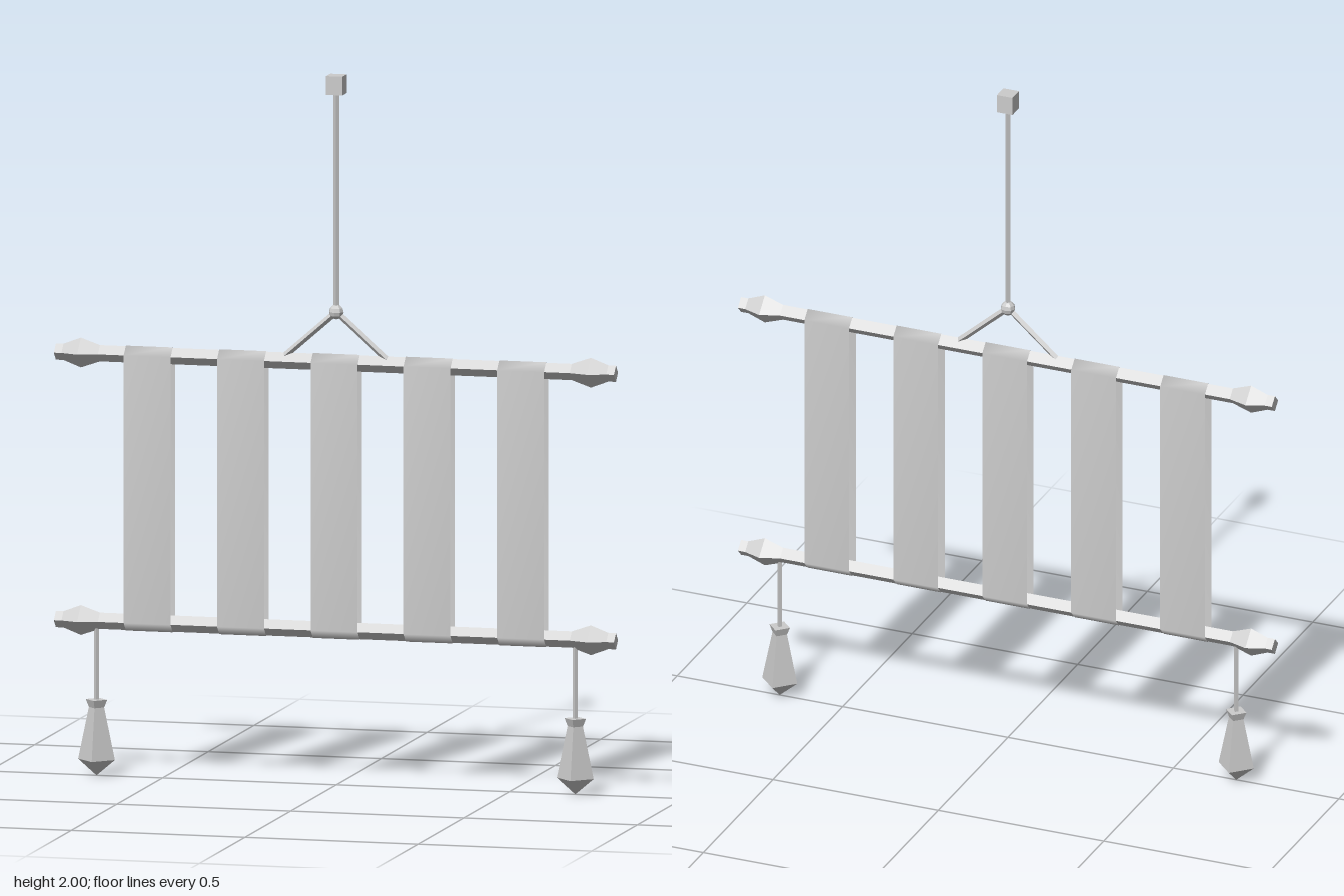
import * as THREE from 'three';

const ROD_Y = [1.19, 0.436];
const ROD_R = 0.023;
const STRAP_R = 0.0245;

const material = new THREE.MeshStandardMaterial({ color: 0xcccccc, flatShading: true });
const clothMaterial = new THREE.MeshStandardMaterial({ color: 0xcccccc, side: THREE.DoubleSide });

function add(parent, name, geometry, mat = material) {
  const mesh = new THREE.Mesh(geometry, mat);
  mesh.name = name;
  parent.add(mesh);
  return mesh;
}

// Four-sided turned part from [radius, height] pairs, listed bottom to top
function turned(points) {
  return new THREE.LatheGeometry(points.map(([r, y]) => new THREE.Vector2(r, y)), 4);
}

// Thin straight cord between two points
function addCord(parent, name, from, to, radius) {
  const a = new THREE.Vector3(...from);
  const b = new THREE.Vector3(...to);
  const dir = b.clone().sub(a);
  const cord = add(parent, name, new THREE.CylinderGeometry(radius, radius, dir.length(), 4));
  cord.position.copy(a).add(b).multiplyScalar(0.5);
  cord.quaternion.setFromUnitVectors(new THREE.Vector3(0, 1, 0), dir.normalize());
}

// Cloth loop wrapped over the upper rod and under the lower one
function strapGeometry(width) {
  const [top, bottom] = ROD_Y;
  const r = STRAP_R;
  const section = [
    [top + r, 0], [top, r], [bottom, r],
    [bottom - r, 0], [bottom, -r], [top, -r],
  ];
  const positions = [];
  const index = [];
  section.forEach(([y, z], i) => {
    positions.push(-width / 2, y, z, width / 2, y, z);
    const a = i * 2;
    const b = ((i + 1) % section.length) * 2;
    index.push(a, b, a + 1, a + 1, b, b + 1);
  });
  const geometry = new THREE.BufferGeometry();
  geometry.setAttribute('position', new THREE.Float32BufferAttribute(positions, 3));
  geometry.setIndex(index);
  geometry.computeVertexNormals();
  return geometry;
}

export function createModel() {
  const model = new THREE.Group();
  model.name = 'hangingBanner';

  // Diamond-section rods with a swollen finial near each end
  const half = [[ROD_R, 0.68], [0.042, 0.735], [ROD_R, 0.785], [ROD_R, 0.807], [0, 0.807]];
  const profile = [...half.map(([r, y]) => [r, -y]).reverse(), ...half];
  ROD_Y.forEach((y, i) => {
    const rod = add(model, i ? 'lowerRod' : 'upperRod', turned(profile));
    rod.rotation.z = Math.PI / 2;
    rod.position.y = y;
  });

  // Five cloth straps
  const straps = new THREE.Group();
  straps.name = 'straps';
  model.add(straps);
  for (let i = -2; i <= 2; i++) {
    add(straps, 'strap', strapGeometry(0.135), clothMaterial).position.x = i * 0.269;
  }

  // Hanger: ceiling block, main cord, knot and two spreading cords
  const hanger = new THREE.Group();
  hanger.name = 'hanger';
  model.add(hanger);
  add(hanger, 'ceilingBlock', new THREE.BoxGeometry(0.047, 0.053, 0.047)).position.y = 1.9735;
  addCord(hanger, 'mainCord', [0, 1.33, 0], [0, 1.95, 0], 0.008);
  add(hanger, 'knot', new THREE.SphereGeometry(0.021, 8, 6)).position.y = 1.333;
  for (const s of [-1, 1]) {
    addCord(hanger, 'spreadCord', [0, 1.333, 0], [s * 0.147, 1.205, 0], 0.009);
  }

  // Tassels hanging from the lower rod
  for (const s of [-1, 1]) {
    const tassel = new THREE.Group();
    tassel.name = s > 0 ? 'leftTassel' : 'rightTassel';
    tassel.position.x = s * 0.69;
    model.add(tassel);
    addCord(tassel, 'tasselCord', [0, 0.2, 0], [0, 0.43, 0], 0.007);
    add(tassel, 'tasselBody', turned([
      [0, 0], [0.053, 0.045], [0.022, 0.192], [0.031, 0.214], [0, 0.214],
    ]));
  }

  return model;
}
